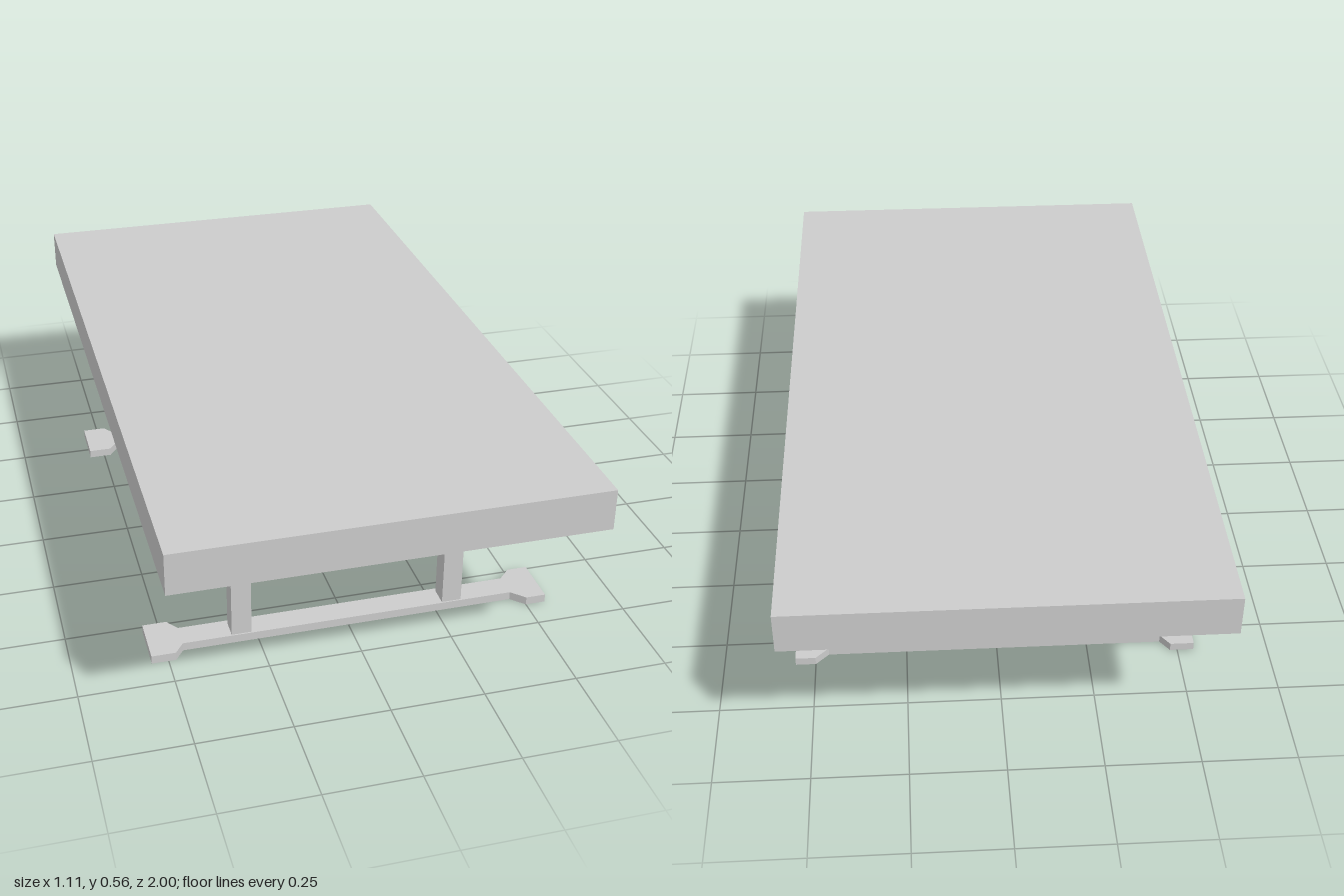
import * as THREE from 'three';

const material = new THREE.MeshStandardMaterial({ color: 0xcccccc, flatShading: true });

const rectPoints = (cx, cz, w, d) => [
  [cx - w / 2, cz + d / 2], [cx + w / 2, cz + d / 2],
  [cx + w / 2, cz - d / 2], [cx - w / 2, cz - d / 2],
];

// Plan outline in [x, z], extruded upward from y0 to y1, with optional holes
function slab(name, outline, holes, y0, y1) {
  const toVec = ([x, z]) => new THREE.Vector2(x, -z);
  const shape = new THREE.Shape(outline.map(toVec));
  holes.forEach((h) => shape.holes.push(new THREE.Path(h.map(toVec))));
  const geometry = new THREE.ExtrudeGeometry(shape, { depth: y1 - y0, bevelEnabled: false });
  geometry.rotateX(-Math.PI / 2).translate(0, y0, 0);
  const mesh = new THREE.Mesh(geometry, material);
  mesh.name = name;
  return mesh;
}

// Foot plan: narrow bar with a wide pad at each end; inset shrinks it evenly
function footOutline(inset) {
  const bar = 0.035 - inset, pad = 0.07 - inset;
  const half = [
    [-0.545 + inset, pad], [-0.48 - inset * 0.5, pad], [-0.455 - inset * 0.5, bar],
    [0.465 + inset * 0.5, bar], [0.5 + inset * 0.5, pad], [0.555 - inset, pad],
  ];
  return [...half, ...half.map(([x, z]) => [x, -z]).reverse()];
}

export function createModel() {
  const model = new THREE.Group();
  model.name = 'table';
  const legX = 0.295, legZ = [0.597, -0.515];

  // Table top: solid board, slotted underside and a hanging rim
  const top = new THREE.Group();
  top.name = 'tableTop';
  const outer = rectPoints(0, 0, 1.11, 2);
  const slots = [];
  for (const x of [-legX, legX]) {
    for (let i = -2; i <= 2; i++) slots.push(rectPoints(x, 0.033 + i * 0.369, 0.16, 0.018));
  }
  top.add(slab('topBoard', outer, [], 0.522, 0.557));
  top.add(slab('slottedUnderside', outer, slots, 0.507, 0.522));
  top.add(slab('topRim', outer, [rectPoints(0, 0, 1.01, 1.9)], 0.446, 0.507));
  model.add(top);

  // Two leg frames: a foot hollow from below and two square tube legs
  legZ.forEach((z, i) => {
    const frame = new THREE.Group();
    frame.name = i === 0 ? 'frontLegFrame' : 'backLegFrame';
    frame.position.z = z;
    const bores = [-legX, legX].map((x) => rectPoints(x, 0, 0.04, 0.04));
    const foot = new THREE.Group();
    foot.name = 'foot';
    foot.position.z = -0.004;
    foot.add(slab('footPlate', footOutline(0), bores, 0.018, 0.023));
    foot.add(slab('footRim', footOutline(0), [footOutline(0.008)], 0, 0.018));
    frame.add(foot);
    bores.forEach((bore, k) => {
      const x = k === 0 ? -legX : legX;
      frame.add(slab(x > 0 ? 'leftLeg' : 'rightLeg', rectPoints(x, 0, 0.054, 0.054), [bore], 0.023, 0.507));
    });
    model.add(frame);
  });
  return model;
}
